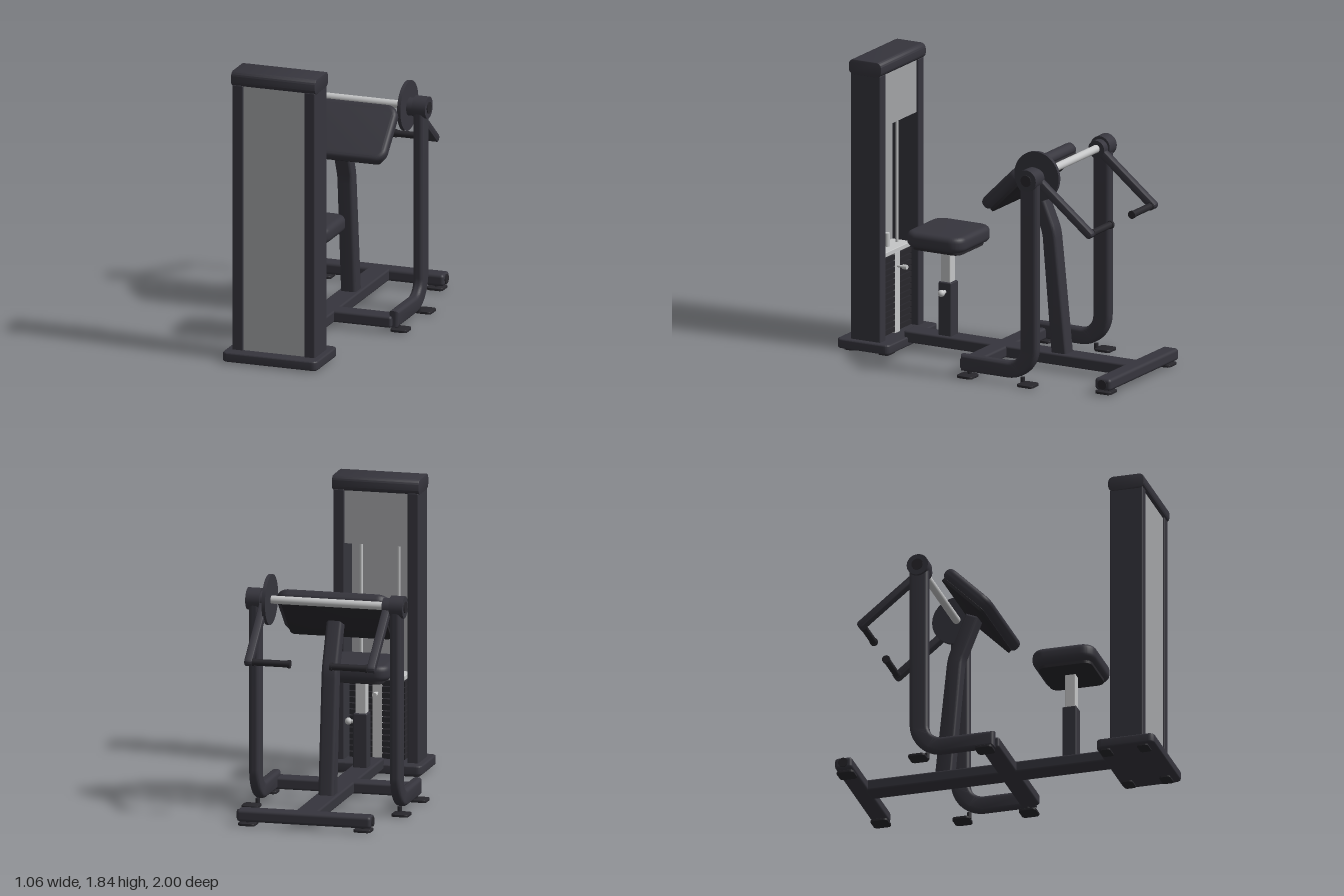
import * as THREE from 'three';
import { toCreasedNormals } from 'three/addons/utils/BufferGeometryUtils.js';
import { RoundedBoxGeometry } from 'three/addons/geometries/RoundedBoxGeometry.js';

const mat = (name, color) => {
  const m = new THREE.MeshStandardMaterial({ color });
  m.name = name;
  return m;
};

export function createModel() {
  const frame = mat('charcoal frame', 0x36353d);
  const dark = mat('dark rubber', 0x28272c);
  const grey = mat('grey panel', 0xa2a3a6);
  const chrome = mat('bright steel', 0xc4c5c6);
  const model = new THREE.Group();
  model.name = 'curlMachine';

  const add = (name, geo, material, x = 0, y = 0, z = 0) => {
    const mesh = new THREE.Mesh(geo, material);
    mesh.name = name;
    mesh.position.set(x, y, z);
    model.add(mesh);
    return mesh;
  };
  // Box given by its limits on each axis, with softened edges
  const block = (name, material, x0, x1, y0, y1, z0, z1, r = 0.008) => {
    const s = [x1 - x0, y1 - y0, z1 - z0];
    const geo = r ? new RoundedBoxGeometry(...s, 3, r) : new THREE.BoxGeometry(...s);
    return add(name, geo, material, (x0 + x1) / 2, (y0 + y1) / 2, (z0 + z1) / 2);
  };
  // Cylinder along x
  const rod = (name, material, r, x0, x1, y, z) =>
    add(name, new THREE.CylinderGeometry(r, r, Math.abs(x1 - x0), 36).rotateZ(Math.PI / 2), material, (x0 + x1) / 2, y, z);
  // Bevelled extrusion centred on its own depth
  const solid = (shape, depth, bevel) => {
    const geo = new THREE.ExtrudeGeometry(shape, {
      depth: depth - 2 * bevel, bevelEnabled: bevel > 0, bevelSize: bevel, bevelThickness: bevel,
      bevelOffset: -bevel, bevelSegments: 5, curveSegments: 14,
    });
    geo.translate(0, 0, -(depth - 2 * bevel) / 2);
    return toCreasedNormals(geo, 0.6);
  };
  // Outline drawn as (z, y), extruded across x
  const sideSolid = (shape, depth, bevel) => solid(shape, depth, bevel).rotateY(-Math.PI / 2);
  const roundRect = (w, h, r) => {
    const s = new THREE.Shape(), a = w / 2 - r, b = h / 2 - r;
    s.absarc(a, b, r, 0, Math.PI / 2);
    s.absarc(-a, b, r, Math.PI / 2, Math.PI);
    s.absarc(-a, -b, r, Math.PI, Math.PI * 1.5);
    s.absarc(a, -b, r, Math.PI * 1.5, Math.PI * 2);
    s.closePath();
    return s;
  };
  const flat = (w, d, r, t, bevel) => solid(roundRect(w, d, r), t, bevel).rotateX(-Math.PI / 2);

  // Weight tower
  add('towerBase', flat(0.62, 0.37, 0.035, 0.06, 0.01), frame, 0, 0.04, 0.815);
  add('towerCap', sideSolid(roundRect(0.23, 0.095, 0.035), 0.55, 0.004), frame, 0, 1.797, 0.815);
  for (const s of [-1, 1]) {
    block('towerColumn', frame, s * 0.235 - 0.035, s * 0.235 + 0.035, 0.06, 1.76, 0.71, 0.92);
    add('guideRod', new THREE.CylinderGeometry(0.01, 0.01, 1.69, 16), chrome, s * 0.12, 0.905, 0.815);
    for (const z of [0.68, 0.92])
      add('towerFoot', flat(0.1, 0.07, 0.015, 0.012, 0), dark, s * 0.24, 0.006, z);
  }
  block('frontPanel', grey, -0.205, 0.205, 0.06, 1.76, 0.895, 0.91, 0);
  block('upperRearPanel', grey, -0.205, 0.205, 1.42, 1.76, 0.725, 0.74, 0);

  // Weight stack with top plate and selector pin
  const plates = 13, pitch = 0.038;
  for (let i = 0; i < plates; i++)
    block('weightPlate', dark, -0.175, 0.175, 0.08 + i * pitch, 0.08 + i * pitch + 0.031, 0.745, 0.88, 0);
  block('stackCore', chrome, -0.03, 0.03, 0.07, 0.58, 0.742, 0.87, 0);
  block('topPlate', chrome, -0.175, 0.175, 0.575, 0.605, 0.745, 0.88, 0.004);
  add('stackStem', new THREE.CylinderGeometry(0.016, 0.016, 0.09, 20), chrome, 0, 0.645, 0.815);
  add('selectorPin', new THREE.CylinderGeometry(0.008, 0.008, 0.07, 16).rotateX(Math.PI / 2), chrome, 0, 0.49, 0.715);
  add('pinHead', new THREE.CylinderGeometry(0.015, 0.015, 0.03, 20).rotateX(Math.PI / 2), chrome, 0, 0.49, 0.69);

  // Floor frame
  block('mainBeam', frame, -0.07, 0.07, 0.035, 0.107, -0.93, 0.66, 0.012);
  block('frontCrossBeam', frame, -0.44, 0.44, 0.035, 0.107, -0.065, 0.055, 0.015);
  block('rearCrossBeam', frame, -0.425, 0.425, 0.032, 0.107, -1.0, -0.89, 0.02);

  // Seat with height post
  block('seatTube', frame, -0.045, 0.045, 0.1, 0.445, 0.34, 0.43, 0.008);
  block('seatPost', chrome, -0.033, 0.033, 0.42, 0.68, 0.353, 0.42, 0.005);
  add('seatPlate', flat(0.34, 0.34, 0.05, 0.025, 0.003), dark, 0, 0.674, 0.385);
  add('seatCushion', flat(0.43, 0.405, 0.085, 0.1, 0.035), frame, 0, 0.732, 0.383);
  rod('seatKnobStem', chrome, 0.012, 0.04, 0.075, 0.385, 0.385);
  add('seatKnob', new THREE.SphereGeometry(0.022, 20, 14), chrome, 0.085, 0.385, 0.385);

  // Bent post carrying the arm pad
  const post = new THREE.Shape();
  post.moveTo(-0.365, 0.09);
  post.lineTo(-0.303, 0.81);
  post.quadraticCurveTo(-0.3, 0.85, -0.288, 0.88);
  post.lineTo(-0.19, 1.125);
  post.lineTo(-0.275, 1.16);
  post.lineTo(-0.38, 0.91);
  post.quadraticCurveTo(-0.395, 0.87, -0.4, 0.82);
  post.lineTo(-0.475, 0.09);
  add('padPost', sideSolid(post, 0.1, 0.02), frame);

  // Sloping arm pad on its backing plate
  const tilt = -Math.PI / 4;
  add('armPad', solid(roundRect(0.72, 0.4, 0.08), 0.075, 0.03), frame, 0, 1.19, -0.185).rotation.x = tilt;
  add('armPadPlate', solid(roundRect(0.64, 0.36, 0.03), 0.022, 0.003), dark, 0, 1.156, -0.219).rotation.x = tilt;

  // Curved side uprights, drawn once and mirrored
  const upright = new THREE.Shape();
  upright.moveTo(0.03, 0.035);
  upright.lineTo(-0.3, 0.035);
  upright.absarc(-0.3, 0.245, 0.21, -Math.PI / 2, -Math.PI, true);
  upright.lineTo(-0.51, 1.31);
  upright.lineTo(-0.39, 1.31);
  upright.lineTo(-0.39, 0.23);
  upright.absarc(-0.3, 0.23, 0.09, Math.PI, Math.PI * 1.5, false);
  upright.lineTo(0.03, 0.14);
  const uprightGeo = sideSolid(upright, 0.066, 0.024);

  // Swinging arm, running from the pivot down to the grip
  const py = 1.31, pz = -0.45, gy = 1.0, gz = -0.835;
  const armLength = Math.hypot(gy - py, gz - pz);
  const armGeo = sideSolid(roundRect(armLength + 0.05, 0.05, 0.024), 0.05, 0.008);
  for (const s of [-1, 1]) {
    add('sideUpright', uprightGeo, frame, s * 0.446);
    rod('pivotHousing', frame, 0.068, s * 0.41, s * 0.497, py, pz);
    rod('pivotCap', dark, 0.036, s * 0.49, s * 0.503, py, pz);
    rod('armHub', frame, 0.056, s * 0.362, s * 0.412, py - 0.005, pz);
    const arm = add('swingArm', armGeo, frame, s * 0.388, (py + gy) / 2, (pz + gz) / 2);
    arm.rotation.x = -Math.atan2(py - gy, pz - gz);
    rod('handleGrip', dark, 0.021, s * 0.14, s * 0.39, gy, gz);
    rod('gripEnd', dark, 0.025, s * 0.125, s * 0.142, gy, gz);
    rod('gripCollar', dark, 0.025, s * 0.35, s * 0.364, gy, gz);
    rod('beamEndCap', dark, 0.03, s * 0.42, s * 0.43, 0.07, -0.945);

    // Floor pads
    for (const [x, z] of [[0.475, -0.025], [0.475, -0.45], [0.365, -0.938]])
      add('floorPad', flat(0.11, 0.11, 0.025, 0.016, 0.003), dark, s * x, 0.013, z);
    for (const [x, z] of [[0.45, -0.025], [0.45, -0.4], [0.365, -0.938]])
      add('floorPadStem', new THREE.CylinderGeometry(0.014, 0.014, 0.04, 12), dark, s * x, 0.03, z);
  }

  // Pivot shaft and cam disc
  rod('pivotShaft', chrome, 0.025, -0.37, 0.37, py, pz);
  rod('camDisc', frame, 0.156, 0.348, 0.37, py, pz);

  return model;
}
